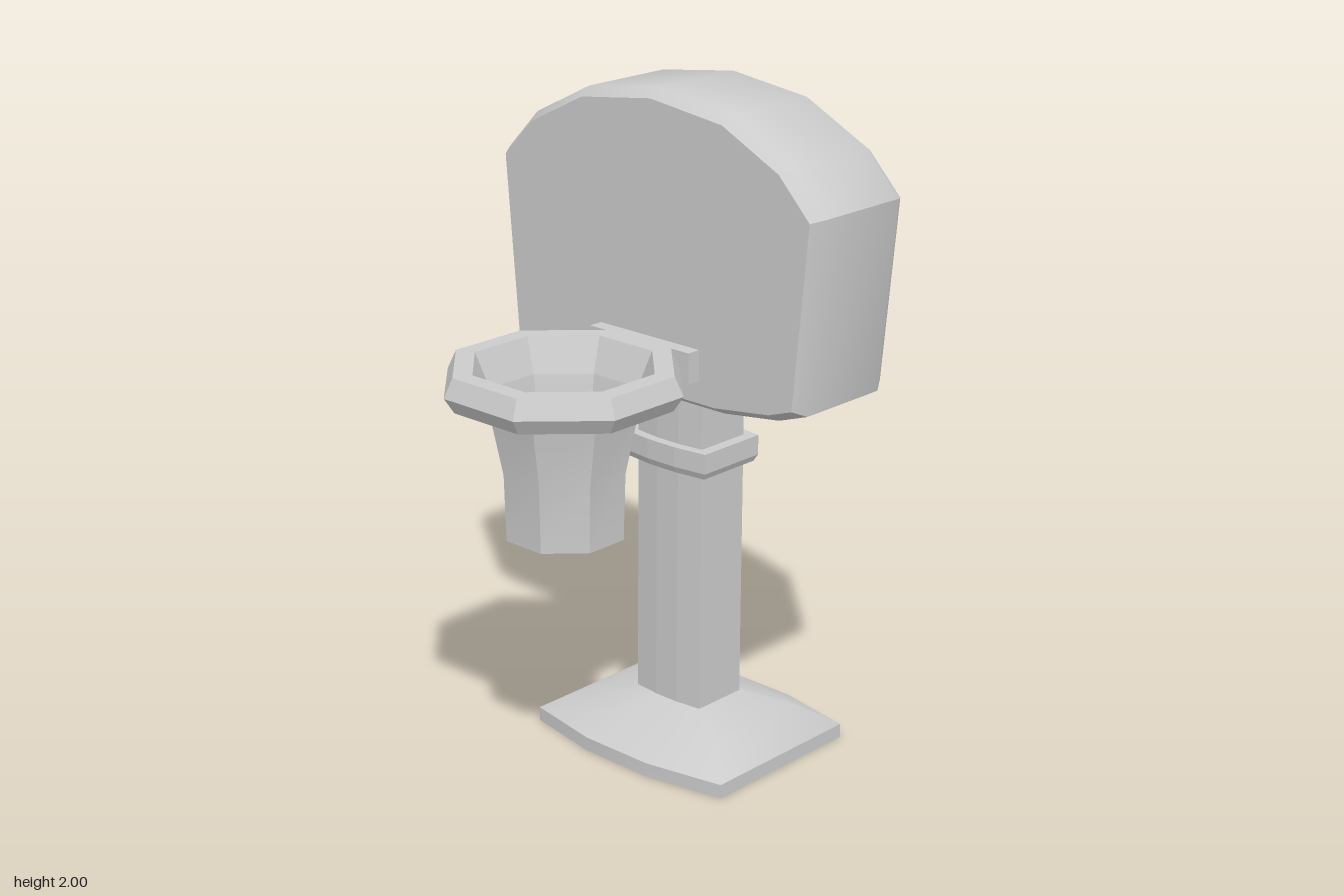
import * as THREE from 'three';
import { toCreasedNormals } from 'three/addons/utils/BufferGeometryUtils.js';

const material = new THREE.MeshStandardMaterial({ color: 0xcccccc, side: THREE.DoubleSide });

// Closed rings of [x, y, z] joined into a skin; rings listed upward face outward.
function loft(rings, crease) {
  const n = rings[0].length;
  const index = [];
  for (let r = 0; r < rings.length - 1; r++) {
    for (let i = 0; i < n; i++) {
      const a = r * n + i, b = r * n + (i + 1) % n;
      index.push(a, a + n, b, b, a + n, b + n);
    }
  }
  const g = new THREE.BufferGeometry();
  g.setAttribute('position', new THREE.Float32BufferAttribute(rings.flat(2), 3));
  g.setIndex(index);
  return toCreasedNormals(g, crease);
}

// Rectangle whose front and back edges bulge in the middle.
function bulgedRect(hx, hz, y, corner) {
  const quarter = [[hx, hz * corner], [hx * 0.33, hz]];
  const half = [...quarter, ...quarter.map(([x, z]) => [-x, z]).reverse()];
  return [...half, ...half.map(([x, z]) => [-x, -z])].map(([x, z]) => [x, y, z]);
}

// Octagon with flat sides facing the axes, sized by its half width.
function octagon(half, y) {
  const r = half / Math.cos(Math.PI / 8);
  return Array.from({ length: 8 }, (_, i) => {
    const a = (i + 0.5) * Math.PI / 4;
    return [r * Math.cos(a), y, r * Math.sin(a)];
  });
}

export function createModel() {
  const model = new THREE.Group();
  const add = (name, geometry, x, y, z) => {
    const mesh = new THREE.Mesh(geometry, material);
    mesh.name = name;
    mesh.position.set(x, y, z);
    model.add(mesh);
  };

  // Hollow flared foot
  const foot = [[0.37, 0.32, 0, 0.85], [0.37, 0.32, 0.043, 0.85],
    [0.27, 0.215, 0.1, 0.86], [0.125, 0.1, 0.14, 0.9]];
  add('base', loft(foot.map((p) => bulgedRect(...p)), 0.7), 0, 0, -0.267);

  // Post with its collar
  const post = [0.14, 1.14].map((y) => bulgedRect(0.125, 0.1, y, 0.9));
  add('post', loft(post, 0.1), 0, 0, -0.264);
  const collar = [[0.125, 0.1, 0.88], [0.15, 0.12, 0.88], [0.16, 0.129, 0.9],
    [0.16, 0.129, 0.96], [0.125, 0.1, 0.96]];
  add('collar', loft(collar.map((p) => bulgedRect(...p, 0.9)), 0.1), 0, 0, -0.264);

  // Thick arched backboard
  const right = [[0.25, 1.113], [0.45, 1.14], [0.55, 1.175], [0.6, 1.735], [0.48, 1.86], [0.27, 1.965]];
  const left = right.map(([x, y]) => [-x, y]).reverse();
  const outline = [...right, [0, 2], ...left].map(([x, y]) => new THREE.Vector2(x, y));
  const board = new THREE.ExtrudeGeometry(new THREE.Shape(outline), {
    depth: 0.305, bevelThickness: 0.04, bevelSize: 0.025, bevelOffset: -0.025, bevelSegments: 1,
  });
  add('backboard', toCreasedNormals(board, 0.65), 0, 0, -0.43);

  // Bracket between backboard and hoop
  add('bracket', new THREE.BoxGeometry(0.38, 0.09, 0.06), 0, 1.25, -0.071);

  // Eight-sided rim and open net
  const rim = [[0.205, 1.2], [0.295, 1.2], [0.322, 1.245], [0.298, 1.3], [0.245, 1.3], [0.205, 1.2]];
  add('rim', loft(rim.map((p) => octagon(...p)), 0.1), 0.009, 0, 0.266);
  const net = [[0.162, 0.805], [0.167, 1], [0.205, 1.2]];
  add('net', loft(net.map((p) => octagon(...p)), 0.3), 0.009, 0, 0.266);

  return model;
}
